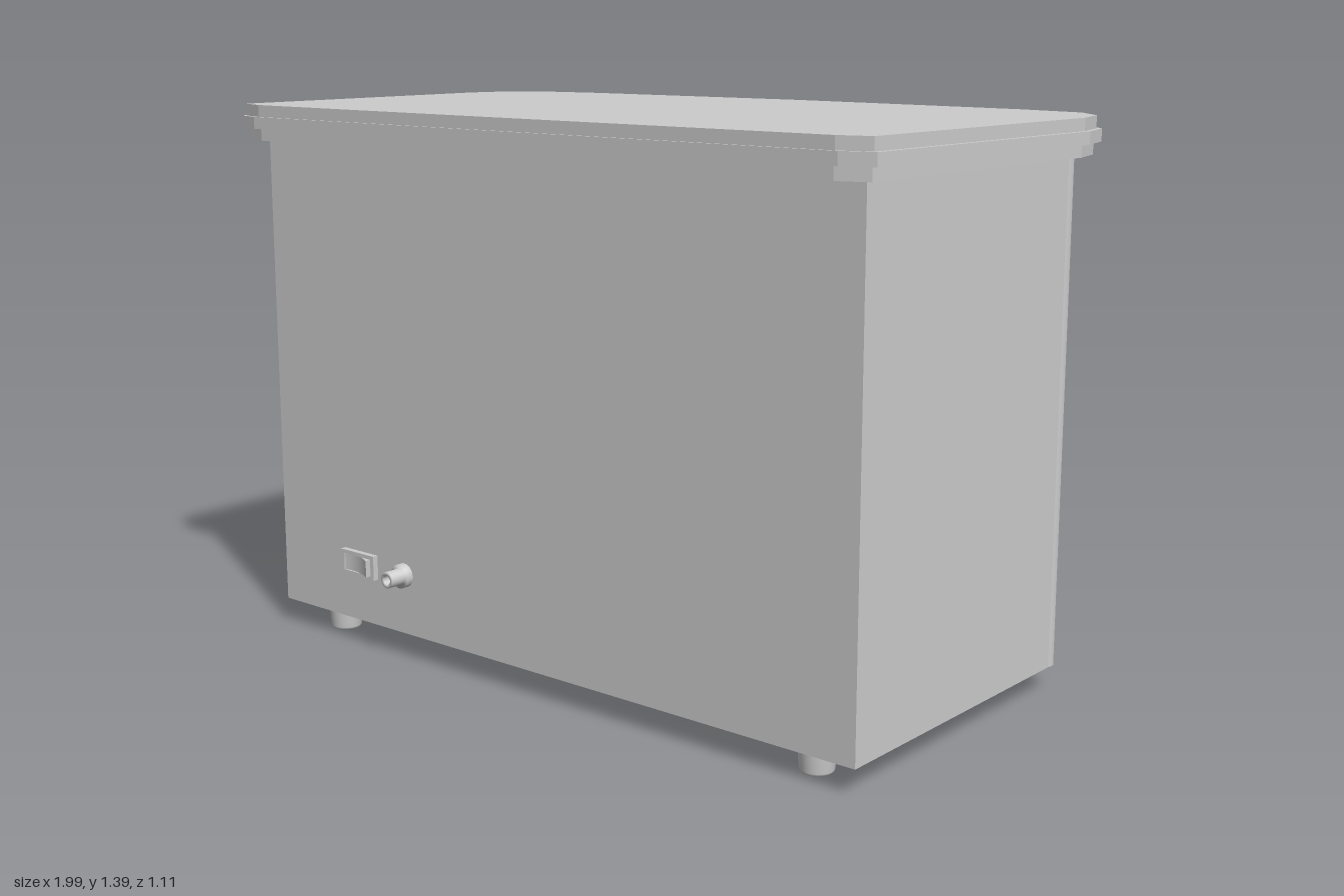
import * as THREE from 'three';

const material = new THREE.MeshStandardMaterial({ color: 0xcccccc });

export function createModel() {
  const model = new THREE.Group();

  const add = (name, geometry, x = 0, y = 0, z = 0) => {
    const mesh = new THREE.Mesh(geometry, material);
    mesh.name = name;
    mesh.position.set(x, y, z);
    model.add(mesh);
    return mesh;
  };

  // Plan outline of [x, z] points, extruded upwards from y0 to y1
  const slab = (name, plan, y0, y1) => {
    const shape = new THREE.Shape(plan.map(([x, z]) => new THREE.Vector2(x, -z)));
    const geometry = new THREE.ExtrudeGeometry(shape, { depth: y1 - y0, bevelEnabled: false });
    return add(name, geometry.rotateX(-Math.PI / 2), 0, y0);
  };
  const mirrored = (half) => [...half, ...half.map(([x, z]) => [-x, z]).reverse()];
  const turned = (profile, sides = 32) =>
    new THREE.LatheGeometry(profile.map(([r, y]) => new THREE.Vector2(r, y)), sides);

  // Cabinet with a bowed fascia around a recessed panel
  add('cabinet', new THREE.BoxGeometry(1.85, 1.235, 0.825), 0, 0.6825, 0.0725);
  const corner = [[0.76, -0.443], [0.82, -0.425], [0.885, -0.385], [0.925, -0.335]];
  const bow = [];
  for (let i = 0; i < 8; i++) {
    const x = (0.76 * i) / 8;
    bow.push([x, -0.485 + 0.042 * (x / 0.76) ** 1.5]);
  }
  const fascia = mirrored([...bow, ...corner]);
  slab('topRail', fascia, 1.13, 1.3);
  slab('bottomRail', fascia, 0.065, 0.24);
  for (const s of [-1, 1]) {
    const post = [...corner, [0.76, -0.335]].map(([x, z]) => [s * x, z]);
    slab('sidePost', post, 0.24, 1.13);
    add('cornerTrim', new THREE.CylinderGeometry(0.028, 0.028, 1.24, 20), s * 0.893, 0.68, -0.367);

    // Rounded corners of the opening
    for (const [y, t] of [[0.24, 1], [1.13, -1]]) {
      const r = 0.09;
      const fillet = new THREE.Shape();
      fillet.moveTo(0, 0);
      fillet.lineTo(-s * r, 0);
      fillet.quadraticCurveTo(0, 0, 0, t * r);
      const geometry = new THREE.ExtrudeGeometry(fillet, { depth: 0.11, bevelEnabled: false });
      add('openingCorner', geometry, s * 0.76, y, -0.444);
    }

    // Feet
    for (const z of [0.41, -0.365]) {
      add('foot', turned([[0, 0], [0.036, 0], [0.04, 0.006], [0.045, 0.07]], 20), s * 0.775, 0, z);
    }

    // Knobs with a domed face and a narrower base
    const knob = turned([
      [0.05, 0], [0.05, 0.03], [0.064, 0.035], [0.064, 0.09],
      [0.058, 0.108], [0.045, 0.12], [0.025, 0.129], [0, 0.132],
    ]).rotateX(-Math.PI / 2);
    add('knob', knob, s * 0.555, 0.4, -0.338);
  }

  // Lid in three stepped layers
  const lidPlan = mirrored([
    [0, -0.555], [0.7, -0.522], [0.89, -0.487], [0.97, -0.408],
    [0.997, -0.3], [0.978, 0.53], [0.9, 0.553], [0, 0.555],
  ]);
  const layers = [['lidBase', 0.983, 1.3, 1.33], ['lidBand', 1, 1.33, 1.36], ['lidTop', 0.988, 1.36, 1.39]];
  for (const [name, k, y0, y1] of layers) {
    slab(name, lidPlan.map(([x, z]) => [x * k, z * k]), y0, y1);
  }

  // Rails running across the opening
  for (const [y, r] of [[0.685, 0.024], [0.585, 0.017]]) {
    add('crossRail', new THREE.CylinderGeometry(r, r, 1.52, 16).rotateZ(Math.PI / 2), 0, y, -0.405);
  }
  add('railPlate', new THREE.BoxGeometry(1.52, 0.11, 0.06), 0, 0.635, -0.37);

  // Push buttons on a small sloping tray
  const buttons = new THREE.Group();
  buttons.name = 'pushButtons';
  buttons.position.set(0, 0.243, -0.41);
  buttons.rotation.x = -0.2;
  const tray = new THREE.Mesh(new THREE.BoxGeometry(0.27, 0.016, 0.1), material);
  tray.name = 'buttonTray';
  buttons.add(tray);
  for (const x of [-0.08, 0, 0.08]) {
    const cap = new THREE.CylinderGeometry(0.034, 0.034, 0.066, 16).rotateZ(Math.PI / 2).scale(1, 0.75, 1.2);
    const button = new THREE.Mesh(cap, material);
    button.name = 'button';
    button.position.set(x, 0.008, 0);
    buttons.add(button);
  }
  model.add(buttons);

  // Power switch: frame with a dished rocker
  const frame = new THREE.Shape();
  frame.moveTo(-0.062, -0.032).lineTo(0.062, -0.032).lineTo(0.062, 0.032).lineTo(-0.062, 0.032);
  const slot = new THREE.Path();
  slot.moveTo(-0.05, -0.022).lineTo(-0.05, 0.022).lineTo(0.05, 0.022).lineTo(0.05, -0.022);
  frame.holes.push(slot);
  add('switchFrame', new THREE.ExtrudeGeometry(frame, { depth: 0.015, bevelEnabled: false }), -0.62, 0.22, 0.485);
  const rocker = new THREE.Shape();
  rocker.moveTo(-0.05, 0);
  rocker.lineTo(0.05, 0);
  rocker.lineTo(0.05, -0.03);
  rocker.quadraticCurveTo(0, -0.003, -0.05, -0.012);
  const rockerGeometry = new THREE.ExtrudeGeometry(rocker, { depth: 0.044, bevelEnabled: false });
  add('rocker', rockerGeometry.rotateX(-Math.PI / 2), -0.62, 0.198, 0.485);

  // Socket: collar and hollow barrel
  const socket = turned([
    [0.031, 0], [0.031, 0.018], [0.021, 0.018], [0.021, 0.06], [0.012, 0.06], [0.012, 0.02], [0, 0.02],
  ], 24).rotateX(Math.PI / 2);
  add('socket', socket, -0.457, 0.22, 0.485);

  return model;
}
